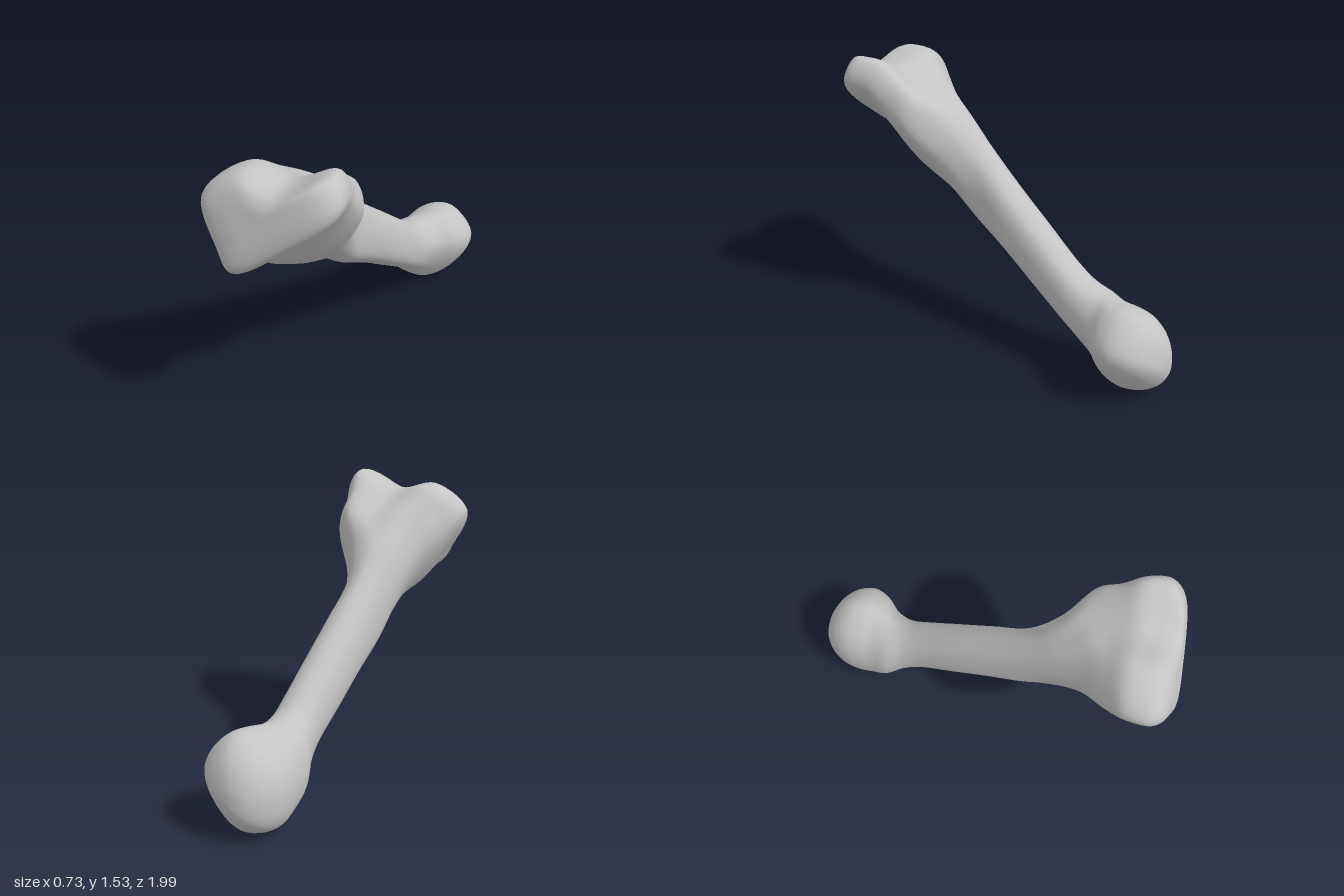
import * as THREE from 'three';

const SIDES = 56; // samples around the bone
const STEPS = 6; // samples between stations
const { lerp } = THREE.MathUtils;

// End outlines, counter-clockwise from +x: three-cornered upper joint and rounded lower head
const JOINT = [[0.33, 1.41], [0.265, 1.535], [0.04, 1.44], [-0.18, 1.483], [-0.365, 1.335], [-0.265, 1.11], [-0.18, 1.005], [0.06, 1.145]];
const HEAD = [[0.36, 0.33], [0.22, 0.495], [0.1, 0.49], [-0.02, 0.4], [-0.08, 0.24], [-0.05, 0.06], [0.09, 0.005], [0.23, 0.09]];

// Slightly squared oval of the sloping shaft at depth z, wider below
function shaftPoint(z, angle) {
  const square = v => Math.sign(v) * Math.abs(v) ** 0.85;
  const c = square(Math.cos(angle)), s = square(Math.sin(angle));
  const rx = 0.118 * (1 - 0.1 * s), ry = 0.19 + Math.max(0.15 * z, 0.06 * z);
  return [0.015 - 0.12 * z + rx * c, 0.73 + 0.74 * z + ry * s];
}

// Outline scaled about its middle, blended towards the shaft oval, shifted, and leaned back by tilt
function section(outline, z, { scale = 1, shaft = 0, tilt = 0, dx = 0, dy = 0 }) {
  const mid = i => outline.reduce((sum, p) => sum + p[i], 0) / outline.length;
  const mx = mid(0), my = mid(1);
  return outline.map(([x, y], k) => {
    const [sx, sy] = shaftPoint(z, k * Math.PI / 4);
    const px = lerp(lerp(mx, x, scale), sx, shaft) + dx;
    const py = lerp(lerp(my, y, scale), sy, shaft) + dy;
    return new THREE.Vector3(px, py, z - tilt * (py - 1.2));
  });
}

function boneSections() {
  const rings = [];
  // gently domed joint face with a rounded rim
  for (const scale of [0.002, 0.5, 0.8, 0.92, 0.98, 1]) {
    rings.push(section(JOINT, 0.855 + 0.115 * Math.sqrt(1 - scale ** 5), { scale, tilt: 0.25 }));
  }
  // joint narrowing into the shaft, with a bump on its left side
  rings.push(
    section(JOINT, 0.75, { shaft: 0.06, tilt: 0.22, dy: -0.01 }),
    section(JOINT, 0.63, { shaft: 0.25, tilt: 0.2, dx: 0.025, dy: -0.06 }),
    section(JOINT, 0.5, { shaft: 0.45, tilt: 0.15, dx: 0.06, dy: -0.07 }),
    section(JOINT, 0.35, { shaft: 0.83, dx: 0.025, dy: -0.02 }),
  );
  // shaft
  for (const z of [0.2, 0, -0.2, -0.4]) rings.push(section(HEAD, z, { shaft: 1 }));
  // shaft widening into the head
  rings.push(
    section(HEAD, -0.5, { shaft: 0.87, dx: -0.015, dy: 0.015 }),
    section(HEAD, -0.6, { shaft: 0.5, dx: -0.035, dy: 0.03 }),
    section(HEAD, -0.69, { shaft: 0.14, dx: -0.01, dy: 0.015 }),
  );
  // domed end of the head
  for (const degrees of [0, 20, 40, 58, 74, 89.8]) {
    const a = THREE.MathUtils.degToRad(degrees), scale = Math.cos(a);
    rings.push(section(HEAD, -0.77 - 0.23 * Math.sin(a), { scale, dy: 0.06 * (scale - 1) }));
  }
  return rings;
}

// Smooth skin over the sections
function loft(rings) {
  const lanes = rings[0].map((_, k) => new THREE.CatmullRomCurve3(rings.map(r => r[k])));
  const rows = (rings.length - 1) * STEPS;
  const position = [], index = [];
  for (let i = 0; i <= rows; i++) {
    const ring = new THREE.CatmullRomCurve3(lanes.map(l => l.getPoint(i / rows)), true);
    for (let j = 0; j < SIDES; j++) {
      position.push(...ring.getPoint(j / SIDES).toArray());
      if (i === rows) continue;
      const a = i * SIDES + j, b = i * SIDES + (j + 1) % SIDES;
      index.push(a, a + SIDES, b, b, a + SIDES, b + SIDES);
    }
  }
  const g = new THREE.BufferGeometry();
  g.setAttribute('position', new THREE.Float32BufferAttribute(position, 3));
  g.setIndex(index);
  g.computeVertexNormals();
  return g;
}

export function createModel() {
  const boneGrey = new THREE.MeshStandardMaterial({ color: 0xc4c4c4 });
  boneGrey.name = 'boneGrey';
  const bone = new THREE.Mesh(loft(boneSections()), boneGrey);
  bone.name = 'bone';
  const model = new THREE.Group();
  model.name = 'legBone';
  model.add(bone);
  return model;
}
